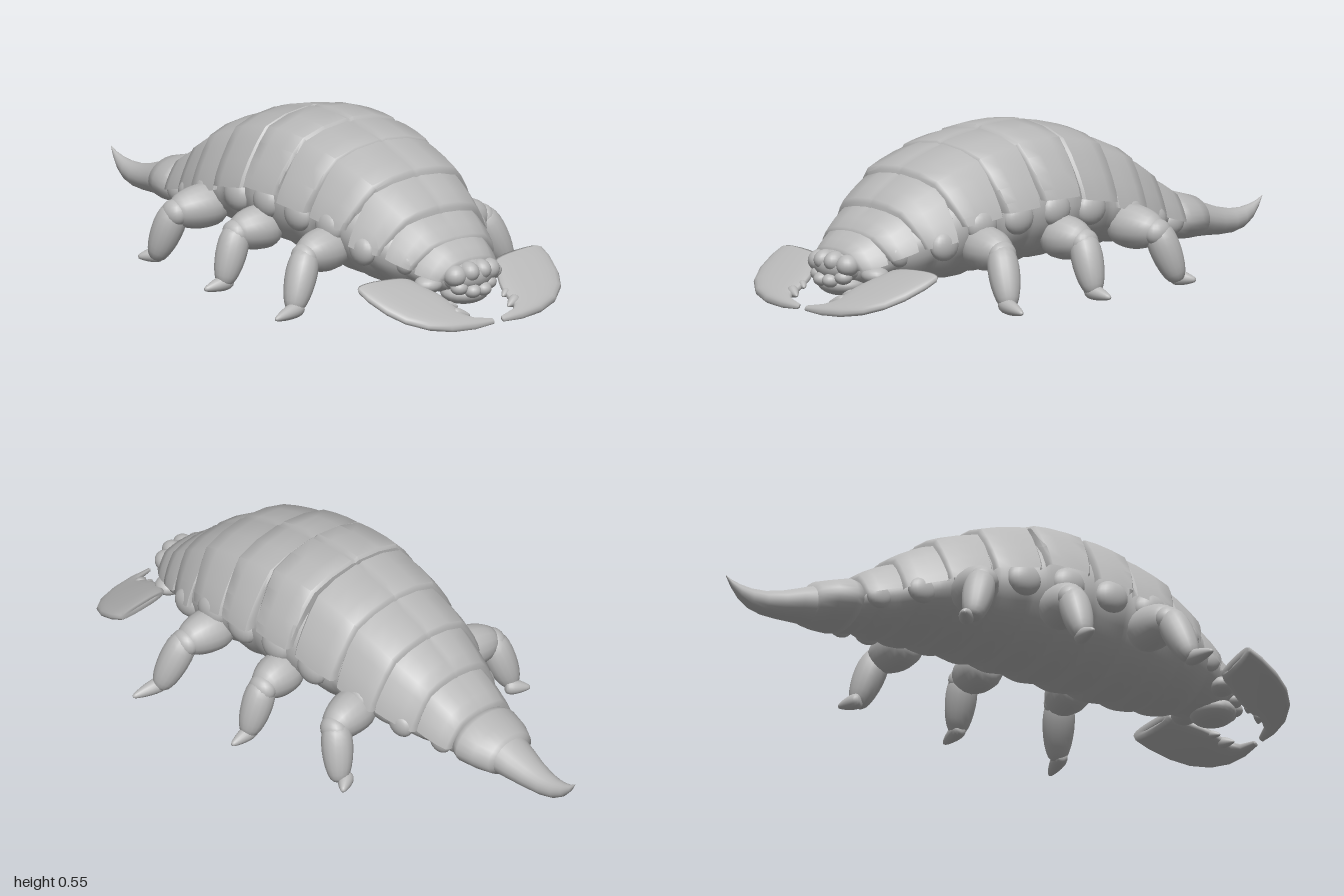
import * as THREE from 'three';
import { toCreasedNormals } from 'three/addons/utils/BufferGeometryUtils.js';

const V = (x, y, z) => new THREE.Vector3(x, y, z);
const lerp = THREE.MathUtils.lerp;

// Skin a list of rings (front to back); closed joins each ring's ends
function loft(rings, closed) {
  const n = rings[0].length, pos = [], idx = [];
  rings.forEach(r => r.forEach(p => pos.push(p.x, p.y, p.z)));
  for (let i = 0; i < rings.length - 1; i++) {
    for (let j = 0; j < (closed ? n : n - 1); j++) {
      const k = (j + 1) % n;
      const a = i * n + j, b = i * n + k, c = a + n, d = b + n;
      idx.push(a, c, b, b, c, d);
    }
  }
  const g = new THREE.BufferGeometry();
  g.setAttribute('position', new THREE.Float32BufferAttribute(pos, 3));
  g.setIndex(idx);
  g.computeVertexNormals();
  return g;
}

// Rounded body section: half width, top, widest height, bottom
function section(z, w, top, mid, bot, n = 28) {
  return Array.from({ length: n }, (_, j) => {
    const a = j / n * Math.PI * 2, s = Math.sin(a);
    return V(w * Math.cos(a), mid + s * (s > 0 ? top - mid : mid - bot), z);
  });
}

// Linear lookup in stations sorted by falling z
function sample(st, z) {
  let i = 0;
  while (i < st.length - 2 && z < st[i + 1][0]) i++;
  const t = (z - st[i][0]) / (st[i + 1][0] - st[i][0]);
  return st[i].map((v, k) => lerp(v, st[i + 1][k], t));
}

// Arched cross-section of a back plate, with a shallow groove on the midline
const HALF = [[1, 0], [0.965, 0.15], [0.88, 0.37], [0.76, 0.62], [0.63, 0.83], [0.36, 0.95], [0.05, 1], [0, 0.98]];
const ARCH = [...HALF, ...HALF.slice(0, -1).reverse().map(([x, y]) => [-x, y])];

function plateGeometry([zf, zb, wf, wb, yf, yb, bf, bb, lf, lb]) {
  // t along the plate, inset towards the body
  const rows = [[0, 0.05], [0, 0.01], [0.05, 0], [0.35, -0.004], [0.7, -0.004], [0.95, 0], [1, 0.01], [1, 0.05]];
  return toCreasedNormals(loft(rows.map(([t, inset]) => {
    const w = lerp(wf, wb, t) - inset, top = lerp(yf, yb, t) - inset;
    const bot = lerp(bf, bb, t), z = lerp(zf, zb, t), lean = lerp(lf, lb, t);
    return ARCH.map(([x, y]) => V(x * w, bot + y * (top - bot), z + lean * (1 - y)));
  }), false), 0.75);
}

// Swollen, round-ended limb segment from a to b
function limbGeometry(a, b, r1, r2) {
  const len = a.distanceTo(b), pts = [];
  for (let i = 0; i <= 12; i++) {
    const t = i / 12, s = (1 - Math.cos(t * Math.PI)) / 2;
    pts.push(new THREE.Vector2(lerp(r1, r2, s) * Math.pow(Math.max(0, Math.sin(t * Math.PI)), 0.6), s * len));
  }
  const g = new THREE.LatheGeometry(pts, 16);
  g.applyQuaternion(new THREE.Quaternion().setFromUnitVectors(V(0, 1, 0), b.clone().sub(a).normalize()));
  return g.translate(a.x, a.y, a.z);
}

// Height of the sloping jaw blade's middle plane
const bladeY = z => 0.018 + (1 - z) * 0.47;

// Sickle jaw blade with blunt edges: outer x, z, inner x, z, thickness from base to tip
function bladeGeometry() {
  const rings = [
    [0.33, 0.745, 0.22, 0.755, 0.002], [0.385, 0.737, 0.185, 0.75, 0.034], [0.391, 0.745, 0.17, 0.765, 0.044],
    [0.388, 0.79, 0.15, 0.8, 0.048], [0.366, 0.86, 0.122, 0.85, 0.048], [0.33, 0.915, 0.11, 0.885, 0.044],
    [0.27, 0.96, 0.108, 0.92, 0.04], [0.19, 0.988, 0.104, 0.945, 0.036], [0.1, 0.999, 0.082, 0.967, 0.028],
    [0.02, 0.998, 0.02, 0.982, 0.014], [0.018, 0.991, 0.018, 0.99, 0.001],
  ].map(([ox, oz, ix, iz, h]) => Array.from({ length: 20 }, (_, j) => {
    const a = j / 20 * Math.PI * 2, c = Math.cos(a), s = Math.sin(a);
    const u = (1 + Math.sign(c) * Math.pow(Math.abs(c), 0.8)) / 2, z = lerp(iz, oz, u);
    return V(lerp(ix, ox, u), bladeY(z) + Math.sign(s) * Math.pow(Math.abs(s), 0.75) * h / 2, z);
  }));
  return loft(rings.reverse(), true);
}

export function createModel() {
  const model = new THREE.Group();
  model.name = 'armouredLarva';
  const grey = new THREE.MeshStandardMaterial({ color: 0xb8b8b8, side: THREE.DoubleSide });
  grey.name = 'shell grey';

  const add = (parent, name, geo) => {
    const m = new THREE.Mesh(geo, grey);
    m.name = name;
    parent.add(m);
    return m;
  };
  const ball = (parent, name, x, y, z, rx, ry, rz) =>
    add(parent, name, new THREE.SphereGeometry(1, 20, 14).scale(rx, ry, rz).translate(x, y, z));

  // Soft body with a folded belly: z, half width, top, widest height, bottom
  const bodyStations = [
    [0.87, 0.01, 0.14, 0.13, 0.12], [0.84, 0.095, 0.18, 0.14, 0.075], [0.74, 0.175, 0.26, 0.18, 0.07],
    [0.62, 0.235, 0.36, 0.225, 0.055], [0.5, 0.265, 0.43, 0.255, 0.055], [0.25, 0.285, 0.5, 0.29, 0.075],
    [0.05, 0.28, 0.51, 0.29, 0.09], [-0.15, 0.258, 0.45, 0.26, 0.1], [-0.32, 0.218, 0.37, 0.21, 0.1],
    [-0.45, 0.158, 0.28, 0.18, 0.085], [-0.58, 0.115, 0.21, 0.15, 0.08], [-0.62, 0.01, 0.16, 0.15, 0.14]];
  const bodyRings = [];
  for (let i = 0; i <= 120; i++) {
    const [z, w, top, mid, bot] = sample(bodyStations, lerp(0.87, -0.62, i / 120));
    const fold = 0.014 * (1 - Math.abs(Math.sin(Math.PI * z / 0.12)));
    bodyRings.push(section(z, w - fold * 0.5, top, mid, bot + Math.min(fold, (mid - bot) / 2)));
  }
  add(model, 'body', loft(bodyRings, true));

  // Back plates: z front/back, width front/back, top front/back, hem front/back, lean front/back
  const plates = new THREE.Group();
  plates.name = 'backPlates';
  model.add(plates);
  [
    [0.86, 0.76, 0.125, 0.17, 0.205, 0.268, 0.14, 0.16, -0.02, 0],
    [0.79, 0.67, 0.18, 0.22, 0.26, 0.338, 0.17, 0.2, -0.035, 0],
    [0.7, 0.545, 0.232, 0.275, 0.345, 0.435, 0.205, 0.225, -0.05, 0],
    [0.575, 0.38, 0.275, 0.295, 0.44, 0.505, 0.27, 0.29, -0.055, -0.01],
    [0.4, 0.225, 0.302, 0.315, 0.505, 0.535, 0.3, 0.31, -0.04, 0],
    [0.235, 0.035, 0.302, 0.306, 0.542, 0.545, 0.325, 0.325, -0.035, 0.01],
    [0.03, -0.155, 0.295, 0.28, 0.54, 0.495, 0.31, 0.28, -0.005, 0.015],
    [-0.135, -0.31, 0.268, 0.25, 0.485, 0.425, 0.26, 0.22, -0.01, 0.015],
    [-0.29, -0.44, 0.236, 0.19, 0.415, 0.335, 0.22, 0.18, 0, 0.01],
    [-0.43, -0.56, 0.178, 0.148, 0.32, 0.25, 0.185, 0.15, 0, 0.01],
  ].forEach(p => add(plates, 'backPlate', plateGeometry(p)));

  // Last ring segment and upturned tail spike
  add(model, 'tailBase', loft([
    section(-0.53, 0.09, 0.2, 0.15, 0.11), section(-0.55, 0.125, 0.238, 0.15, 0.08),
    section(-0.58, 0.137, 0.24, 0.148, 0.075), section(-0.64, 0.123, 0.222, 0.145, 0.07),
    section(-0.69, 0.098, 0.208, 0.138, 0.07), section(-0.705, 0.06, 0.18, 0.138, 0.09)], true));
  add(model, 'tailSpike', loft([
    [-0.68, 0.083, 0.2, 0.07], [-0.74, 0.07, 0.178, 0.068], [-0.8, 0.055, 0.157, 0.064],
    [-0.86, 0.042, 0.144, 0.064], [-0.91, 0.031, 0.143, 0.075], [-0.95, 0.02, 0.15, 0.1],
    [-0.98, 0.009, 0.16, 0.135], [-1, 0.001, 0.173, 0.17],
  ].map(([z, w, t, b]) => section(z, w, t, (t + b) / 2, b, 20)), true));

  // Head
  const head = new THREE.Group();
  head.name = 'head';
  model.add(head);
  ball(head, 'skull', 0, 0.145, 0.82, 0.1, 0.06, 0.085);
  ball(head, 'jaw', 0, 0.085, 0.82, 0.085, 0.04, 0.075);

  const mandible = bladeGeometry();
  // Leg joints: hip, knee, ankle, toe
  const legs = [
    ['frontLeg', V(0.2, 0.195, 0.43), V(0.37, 0.185, 0.45), V(0.45, 0.045, 0.49), V(0.55, 0.018, 0.515)],
    ['middleLeg', V(0.21, 0.195, 0.11), V(0.365, 0.185, 0.09), V(0.425, 0.045, 0.1), V(0.505, 0.018, 0.095)],
    ['rearLeg', V(0.18, 0.195, -0.2), V(0.355, 0.18, -0.235), V(0.388, 0.04, -0.295), V(0.425, 0.018, -0.345)],
  ];
  // Lobes under the plate hems: x, y, z, size
  const lobes = [[0.165, 0.185, 0.71, 0.04], [0.235, 0.21, 0.58, 0.05], [0.26, 0.265, 0.44, 0.055],
    [0.268, 0.275, 0.29, 0.055], [0.268, 0.285, 0.13, 0.055], [0.26, 0.27, -0.03, 0.055],
    [0.235, 0.23, -0.22, 0.05], [0.185, 0.185, -0.37, 0.045], [0.13, 0.155, -0.5, 0.04]];

  // Paired parts, mirrored across the midline
  for (const s of [1, -1]) {
    const half = new THREE.Group();
    half.name = s > 0 ? 'leftSide' : 'rightSide';
    half.scale.x = s;
    model.add(half);
    add(half, 'mandible', mandible);
    // Inner jaw teeth
    [[0.13, 0.88, 0.095, 0.9, 0.018], [0.135, 0.92, 0.08, 0.945, 0.026]].forEach(([x, z, tx, tz, r]) =>
      add(half, 'tooth', limbGeometry(V(x, bladeY(z), z), V(tx, bladeY(tz), tz), r, 0.006)));
    ball(half, 'mandibleJoint', 0.125, 0.122, 0.785, 0.05, 0.03, 0.045);
    ball(half, 'brow', 0.025, 0.165, 0.87, 0.032, 0.034, 0.042);
    ball(half, 'eye', 0.07, 0.155, 0.855, 0.038, 0.036, 0.04);
    ball(half, 'mouthLobe', 0.022, 0.103, 0.885, 0.028, 0.024, 0.032);
    ball(half, 'cheekLobe', 0.06, 0.115, 0.865, 0.03, 0.024, 0.03);
    lobes.forEach(([x, y, z, r]) => ball(half, 'sideLobe', x, y, z, r * 0.65, r, r * 1.1));
    for (const [name, hip, knee, ankle, toe] of legs) {
      const leg = new THREE.Group();
      leg.name = name;
      half.add(leg);
      add(leg, 'thigh', limbGeometry(hip, knee.clone().add(V(0.02, 0.005, 0)), 0.084, 0.062));
      ball(leg, 'knee', knee.x + 0.005, knee.y, knee.z, 0.04, 0.045, 0.05);
      add(leg, 'shin', limbGeometry(knee.clone().add(V(-0.005, 0.025, 0)), ankle.clone().add(V(0.005, -0.025, 0)), 0.06, 0.044));
      add(leg, 'foot', limbGeometry(ankle.clone().add(V(-0.03, -0.012, 0)), toe, 0.034, 0.012));
    }
  }
  return model;
}
